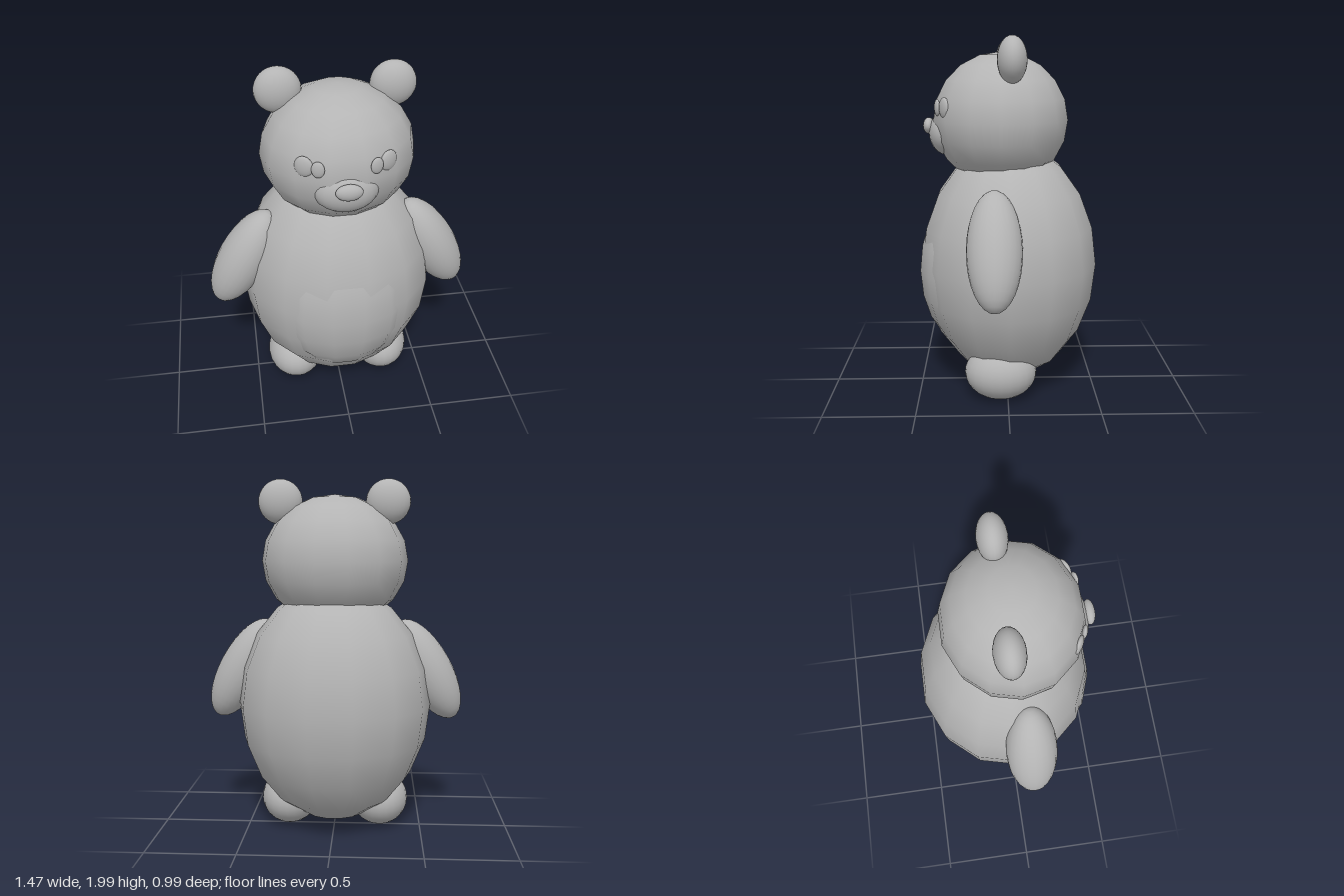
import * as THREE from 'three';

export function createModel() {
  const model = new THREE.Group();
  const grey = new THREE.MeshStandardMaterial({ color: 0xb4b4b4 });
  grey.name = 'plain grey';

  const coarse = new THREE.SphereGeometry(1, 14, 10); // large rounded masses
  const fine = new THREE.SphereGeometry(1, 24, 16);   // limbs and small features

  function blob(name, geometry, position, radii, rotation = [0, 0, 0]) {
    const mesh = new THREE.Mesh(geometry, grey);
    mesh.name = name;
    mesh.position.set(...position);
    mesh.scale.set(...radii);
    mesh.rotation.set(...rotation);
    model.add(mesh);
  }

  // Torso, belly patch and head
  blob('body', coarse, [0, 0.74, -0.012], [0.55, 0.68, 0.5]);
  blob('belly', coarse, [0, 0.7, 0.2], [0.4, 0.48, 0.3]);
  blob('head', coarse, [0, 1.55, 0.035], [0.415, 0.37, 0.378]);

  // Snout
  blob('muzzle', fine, [0, 1.477, 0.33], [0.17, 0.126, 0.105]);
  blob('nose', fine, [0, 1.515, 0.436], [0.07, 0.045, 0.031]);

  // Mirrored parts
  for (const [side, s] of [['left', 1], ['right', -1]]) {
    blob(side + 'Ear', fine, [s * 0.3, 1.877, -0.021], [0.124, 0.124, 0.079]);
    blob(side + 'EyePatch', fine, [s * 0.212, 1.625, 0.337], [0.05, 0.056, 0.02], [0, s * 0.5, 0]);
    blob(side + 'Eye', fine, [s * 0.147, 1.623, 0.378], [0.034, 0.045, 0.015], [0, s * 0.3, 0]);
    blob(side + 'Arm', fine, [s * 0.535, 0.925, 0.075], [0.14, 0.323, 0.145], [0, 0, s * 0.512]);
    blob(side + 'Foot', fine, [s * 0.263, 0.163, 0.04], [0.165, 0.155, 0.2]);
  }

  return model;
}
